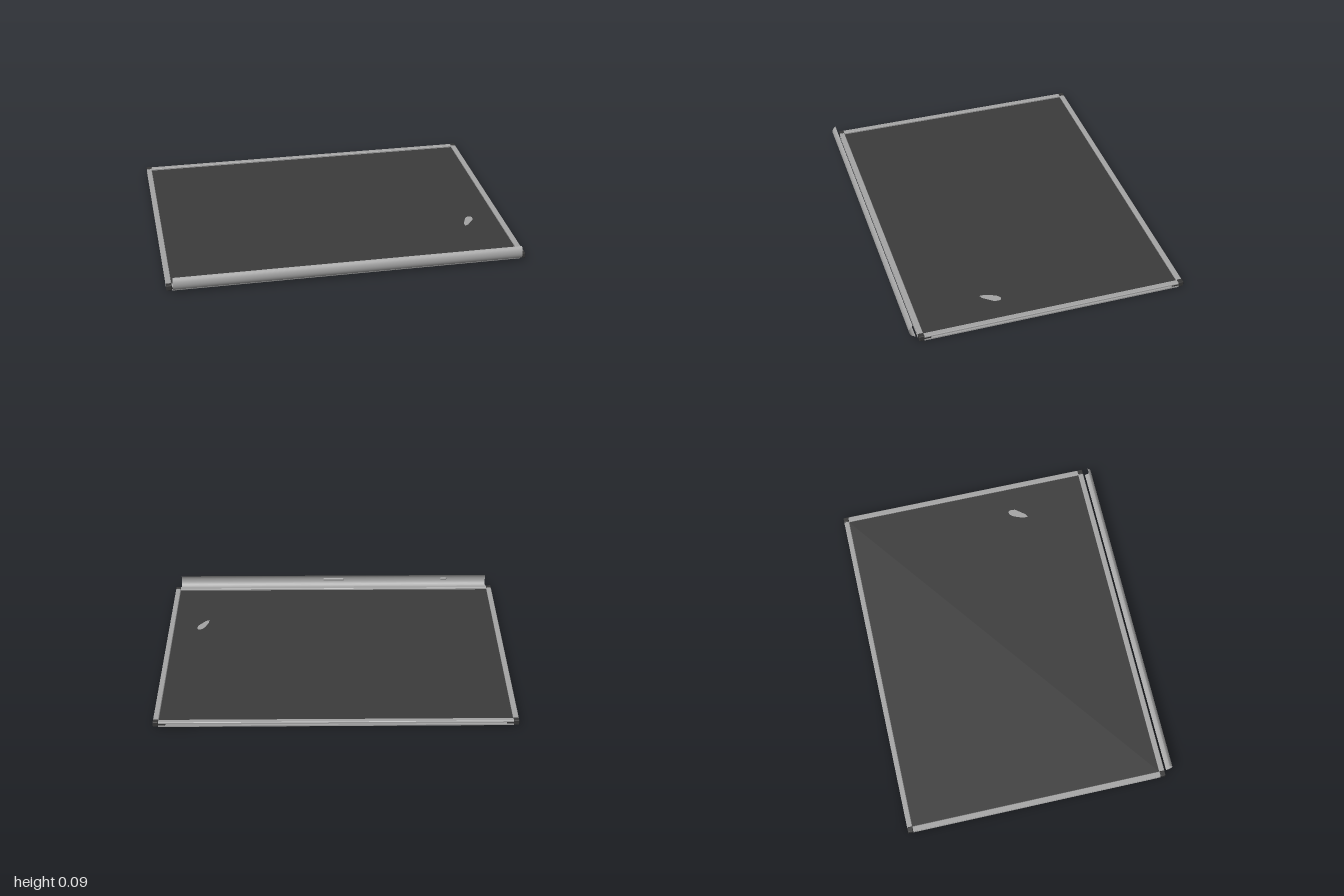
import * as THREE from 'three';
import { ParametricGeometry } from 'three/addons/geometries/ParametricGeometry.js';
import { RoundedBoxGeometry } from 'three/addons/geometries/RoundedBoxGeometry.js';

export function createModel() {
  const model = new THREE.Group();
  model.name = 'framedScreen';

  const material = (name, color, side = THREE.FrontSide) => {
    const m = new THREE.MeshStandardMaterial({ color, side });
    m.name = name;
    return m;
  };
  const metal = material('brushed metal', 0xa4a4a4);
  const sheetMetal = material('sheet metal', 0xa4a4a4, THREE.DoubleSide);
  const meshDark = material('dark screen mesh', 0x3b3b3b);
  const plastic = material('corner plastic', 0x363636);

  const add = (name, geometry, mat, x = 0, y = 0, z = 0, parent = model) => {
    const mesh = new THREE.Mesh(geometry, mat);
    mesh.name = name;
    mesh.position.set(x, y, z);
    parent.add(mesh);
    return mesh;
  };

  // Frame limits
  const W = 0.03, back = -0.775, front = 0.73, midZ = (back + front) / 2;
  const lenX = 2 - 2 * W, lenZ = front - back - 2 * W;

  // Screen panel, recessed in the frame
  add('screenPanel', new THREE.BoxGeometry(lenX + 0.01, 0.004, lenZ + 0.01), meshDark, 0, 0.018, midZ);

  // Rails: a channel section with its groove facing outward
  const section = new THREE.Shape([
    [-0.015, 0.003], [-0.012, 0], [0.012, 0], [0.015, 0.003], [0.015, 0.011],
    [0.005, 0.011], [0.005, 0.022], [0.015, 0.022], [0.015, 0.028],
    [0.012, 0.031], [-0.012, 0.031], [-0.015, 0.028],
  ].map(([x, y]) => new THREE.Vector2(x, y)));
  const rail = (name, length, angle, x, z) => {
    const g = new THREE.ExtrudeGeometry(section, { depth: length, bevelEnabled: false });
    g.translate(0, 0, -length / 2);
    add(name, g, metal, x, 0, z).rotation.y = angle;
  };
  rail('leftRail', lenZ, 0, 1 - W / 2, midZ);
  rail('rightRail', lenZ, Math.PI, -1 + W / 2, midZ);
  rail('backRail', lenX, Math.PI / 2, 0, back + W / 2);
  rail('frontRail', lenX, -Math.PI / 2, 0, front - W / 2);

  // Corner connectors with tongues that slide into the rail grooves
  for (const sx of [-1, 1]) {
    for (const sz of [-1, 1]) {
      const corner = new THREE.Group();
      corner.name = 'cornerConnector';
      corner.position.set(sx * (1 - W / 2), 0, sz > 0 ? front - W / 2 : back + W / 2);
      model.add(corner);
      add('cornerBlock', new RoundedBoxGeometry(0.03, 0.03, 0.03, 2, 0.004), plastic, 0, 0.0185, 0, corner);
      add('sideTongue', new THREE.BoxGeometry(0.008, 0.01, 0.04), plastic, sx * 0.009, 0.0165, -sz * 0.033, corner);
      add('endTongue', new THREE.BoxGeometry(0.04, 0.01, 0.008), plastic, -sx * 0.033, 0.0165, sz * 0.009, corner);
    }
  }

  // Curved pull lip along the front edge
  const lip = new ParametricGeometry((u, v, p) => {
    const a = -1.45 + u * 2.55;
    p.set((v - 0.5) * 2 * 0.967, 0.057 + 0.0415 * Math.sin(a), 0.737 + 0.038 * Math.cos(a));
  }, 20, 1);
  add('pullLip', lip, sheetMetal);

  // Small stiffeners behind the lip
  for (const [x, length] of [[0, 0.12], [-0.7, 0.03]]) {
    const g = new THREE.CapsuleGeometry(0.005, length, 4, 10);
    g.rotateZ(Math.PI / 2).scale(1, 2, 1);
    add('lipStiffener', g, metal, x, 0.06, 0.768);
  }

  // Teardrop patch, visible on both faces of the screen
  const drop = new THREE.Shape();
  drop.moveTo(0.765, -0.33);
  drop.lineTo(0.785, -0.32);
  drop.lineTo(0.828, -0.265);
  drop.quadraticCurveTo(0.837, -0.225, 0.82, -0.222);
  drop.quadraticCurveTo(0.8, -0.22, 0.785, -0.25);
  drop.lineTo(0.765, -0.3);
  const patch = new THREE.ExtrudeGeometry(drop, { depth: 0.006, bevelEnabled: false });
  patch.rotateX(-Math.PI / 2);
  add('screenPatch', patch, metal, 0, 0.015, 0);

  return model;
}
